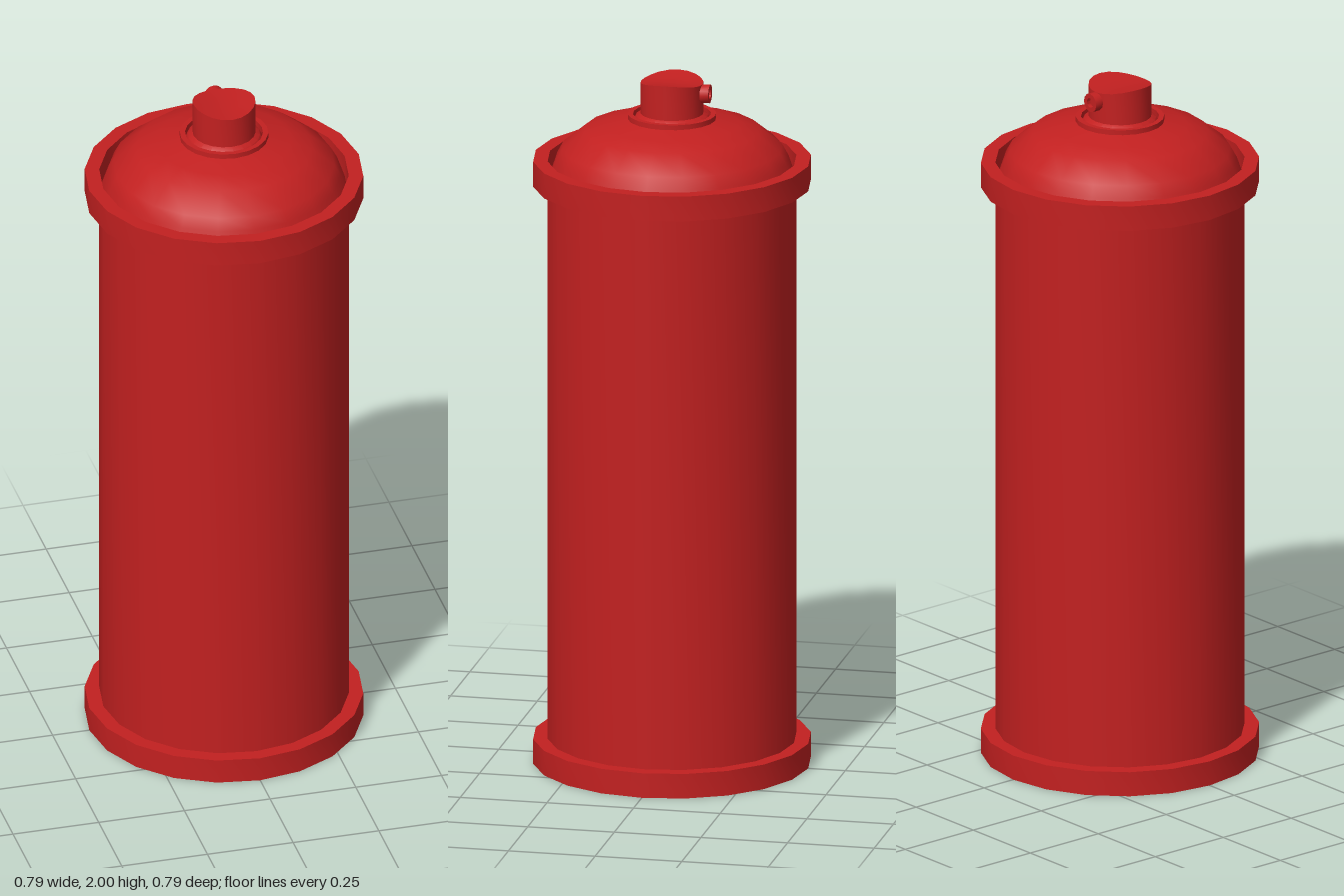
import * as THREE from 'three';
import { toCreasedNormals } from 'three/addons/utils/BufferGeometryUtils.js';

const SIDES = 20;
const paint = new THREE.MeshStandardMaterial({ color: 0xc22020 });

// Turned part from [radius, height] pairs; rule may move each vertex
function turned(name, profile, sides = SIDES, rule) {
  const points = profile.map(([r, y]) => new THREE.Vector2(r, y));
  const geometry = new THREE.LatheGeometry(points, sides);
  const pos = geometry.attributes.position;
  if (rule) {
    for (let i = 0; i < pos.count; i++) {
      pos.setY(i, rule(pos.getX(i), pos.getY(i), pos.getZ(i)));
    }
  }
  const mesh = new THREE.Mesh(toCreasedNormals(geometry, 0.6), paint);
  mesh.name = name;
  return mesh;
}

// Square-section ring, closed all round
function ring(name, inner, outer, bottom, top) {
  return turned(name, [
    [inner, bottom], [outer, bottom], [outer, top], [inner, top], [inner, bottom],
  ]);
}

export function createModel() {
  const can = new THREE.Group();
  can.name = 'sprayCan';

  // Straight wall and the rolled rims at both ends
  can.add(turned('body', [[0.352, 0.03], [0.352, 1.72]]));
  can.add(ring('bottomRim', 0.352, 0.393, 0, 0.072));
  can.add(ring('topRim', 0.352, 0.393, 1.692, 1.765));

  // Bottom domed inwards
  can.add(turned('base', [
    [0, 0.14], [0.13, 0.13], [0.245, 0.1], [0.31, 0.06], [0.352, 0.02],
  ]));

  // Shoulder dome, its foot sunk inside the top rim
  can.add(turned('dome', [
    [0.352, 1.7], [0.33, 1.765], [0.312, 1.798], [0.248, 1.85], [0.19, 1.868], [0.11, 1.886],
  ]));

  // Valve collar with a sloping seat for the nozzle
  can.add(ring('collar', 0.11, 0.125, 1.874, 1.897));
  can.add(turned('valveSeat', [[0.11, 1.876], [0.102, 1.892], [0.088, 1.9]]));

  // Push button, its top hollowed for a finger
  can.add(turned('nozzle',
    [[0.089, 1.88], [0.089, 2], [0.045, 2], [0, 2]], SIDES,
    (x, y) => (y > 1.95 ? 1.987 + 0.013 * (x / 0.089) ** 2 : y)));

  // Small round outlet at the back
  const spout = turned('spout', [
    [0.027, 0], [0.027, 0.03], [0.014, 0.03], [0.014, 0.018], [0, 0.018],
  ], 12);
  spout.rotation.x = -Math.PI / 2;
  spout.position.set(0, 1.96, -0.08);
  can.add(spout);

  return can;
}
